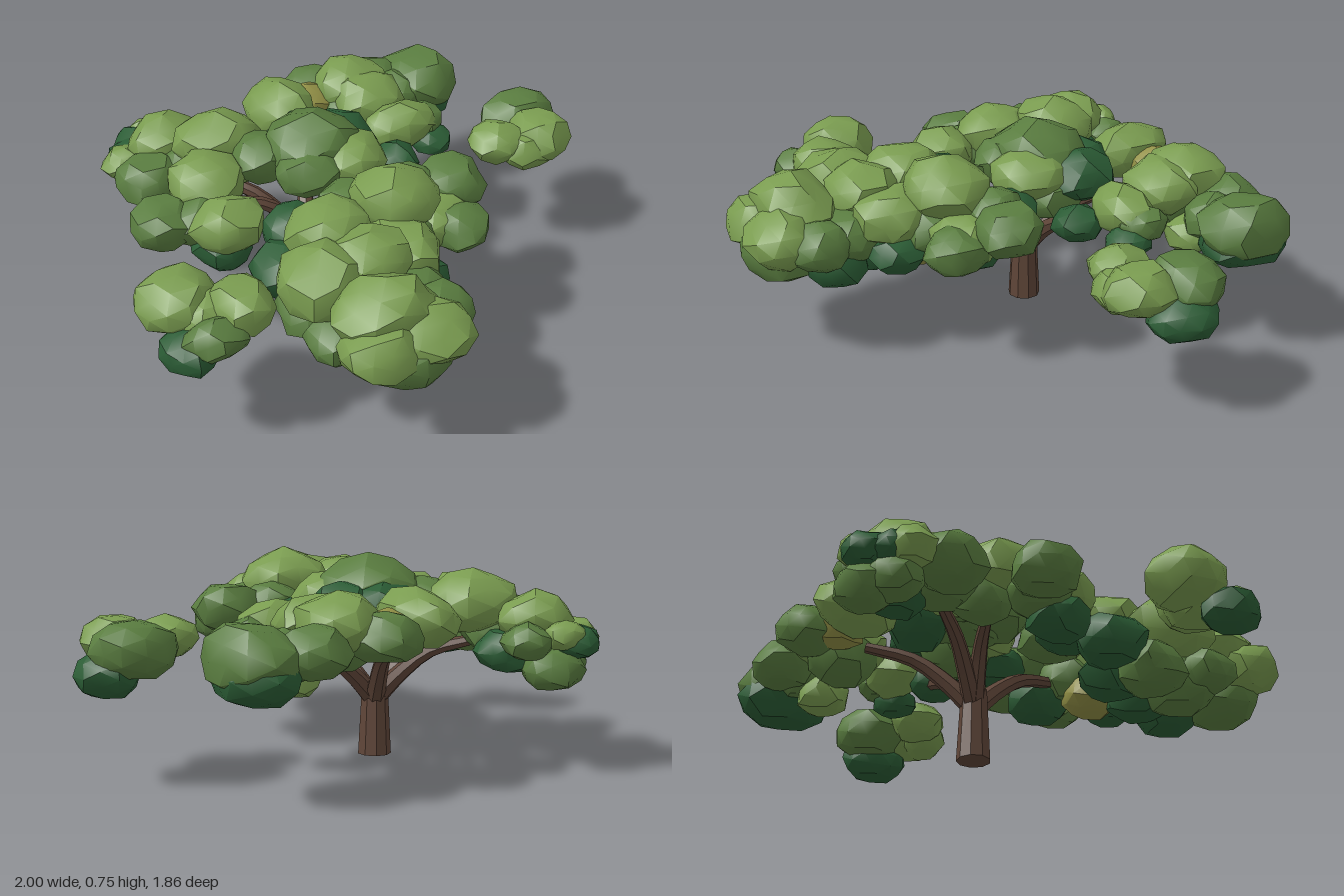
import * as THREE from 'three';
import { mergeVertices, toCreasedNormals } from 'three/addons/utils/BufferGeometryUtils.js';

const flat = (name, color) => new THREE.MeshStandardMaterial({ name, color });

let seed = 7;
const rand = () => {
  seed = (seed * 16807) % 2147483647;
  return seed / 2147483647;
};

// Lumpy faceted ball with a slightly flattened underside
function lump() {
  let g = new THREE.IcosahedronGeometry(1, 1);
  g.deleteAttribute('uv');
  g.deleteAttribute('normal');
  g = mergeVertices(g, 1e-4);
  const p = g.attributes.position;
  const v = new THREE.Vector3();
  for (let i = 0; i < p.count; i++) {
    v.fromBufferAttribute(p, i).multiplyScalar(0.92 + rand() * 0.2);
    if (v.y < -0.8) v.y = -0.8 + (v.y + 0.8) * 0.4;
    p.setXYZ(i, v.x, v.y, v.z);
  }
  return toCreasedNormals(g, 0.6);
}

// Tapered limb swept along a curve
function limb(points, r0, r1, sides = 7) {
  const curve = new THREE.CatmullRomCurve3(points.map((a) => new THREE.Vector3(...a)));
  const steps = 8;
  const g = new THREE.TubeGeometry(curve, steps, 1, sides, false);
  const p = g.attributes.position;
  const v = new THREE.Vector3();
  for (let i = 0; i < p.count; i++) {
    const t = Math.floor(i / (sides + 1)) / steps;
    const c = curve.getPointAt(t);
    v.fromBufferAttribute(p, i).sub(c).multiplyScalar(r0 + (r1 - r0) * t).add(c);
    p.setXYZ(i, v.x, v.y, v.z);
  }
  return toCreasedNormals(g, 0.5);
}

// Foliage lumps per cluster: [tone, x, y, z, radius x, radius z]
const clusters = {
  rightFoliage: [
    ['mid', 0.80, 0.47, -0.33, 0.15, 0.13], ['dark', 0.88, 0.39, -0.28, 0.11, 0.13],
    ['light', 0.63, 0.48, -0.17, 0.11, 0.11], ['light', 0.80, 0.48, -0.16, 0.12, 0.13],
    ['light', 0.73, 0.45, -0.12, 0.11, 0.09],
  ],
  backRightFoliage: [
    ['light', -0.10, 0.56, -0.64, 0.13, 0.17], ['mid', 0.09, 0.53, -0.78, 0.13, 0.11],
    ['yellow', 0.03, 0.53, -0.68, 0.11, 0.10], ['light', 0.22, 0.57, -0.69, 0.15, 0.15],
    ['light', 0.25, 0.56, -0.57, 0.15, 0.13], ['mid', 0.55, 0.49, -0.74, 0.15, 0.18],
    ['mid', 0.36, 0.50, -0.80, 0.13, 0.12], ['mid', 0.42, 0.48, -0.70, 0.12, 0.12],
    ['dark', 0.54, 0.44, -0.75, 0.14, 0.17], ['light', 0.30, 0.52, -0.38, 0.16, 0.10],
    ['mid', 0.41, 0.51, -0.40, 0.08, 0.09], ['dark', 0.22, 0.46, -0.24, 0.09, 0.10],
    ['dark', 0.42, 0.45, -0.34, 0.08, 0.08], ['mid', 0.20, 0.49, -0.62, 0.14, 0.13],
    ['light', 0.36, 0.40, -0.64, 0.10, 0.10],
  ],
  backLeftFoliage: [
    ['dark', -0.66, 0.46, -0.78, 0.09, 0.08], ['light', -0.60, 0.49, -0.80, 0.08, 0.06],
    ['mid', -0.48, 0.47, -0.75, 0.09, 0.09], ['light', -0.58, 0.53, -0.64, 0.14, 0.13],
    ['light', -0.74, 0.46, -0.65, 0.09, 0.09], ['dark', -0.70, 0.46, -0.71, 0.09, 0.07],
    ['mid', -0.69, 0.46, -0.50, 0.13, 0.13], ['mid', -0.58, 0.37, -0.76, 0.12, 0.10],
    ['light', -0.42, 0.58, -0.48, 0.17, 0.14], ['mid', -0.52, 0.48, -0.48, 0.13, 0.13],
    ['dark', -0.48, 0.42, -0.62, 0.11, 0.11], ['mid', -0.66, 0.38, -0.68, 0.10, 0.10],
  ],
  leftFoliage: [
    ['light', -0.54, 0.55, -0.27, 0.14, 0.15], ['mid', -0.74, 0.47, -0.18, 0.12, 0.13],
    ['light', -0.54, 0.50, -0.04, 0.14, 0.13], ['mid', -0.60, 0.47, -0.15, 0.13, 0.12],
    ['dark', -0.56, 0.40, -0.06, 0.11, 0.11], ['mid', -0.50, 0.45, -0.32, 0.11, 0.11],
  ],
  crownFoliage: [
    ['mid', -0.12, 0.60, -0.25, 0.19, 0.18], ['light', -0.02, 0.58, -0.16, 0.14, 0.14],
    ['dark', -0.10, 0.55, -0.41, 0.16, 0.12], ['dark', 0.04, 0.56, -0.34, 0.12, 0.14],
    ['mid', -0.31, 0.57, -0.31, 0.12, 0.13], ['mid', -0.18, 0.58, -0.14, 0.13, 0.12],
    ['mid', 0.01, 0.50, -0.24, 0.12, 0.13], ['light', -0.38, 0.52, -0.38, 0.10, 0.10],
  ],
  frontRightFoliage: [
    ['dark', 0.07, 0.50, -0.04, 0.11, 0.10], ['light', 0.01, 0.61, 0.20, 0.16, 0.16],
    ['mid', 0.29, 0.53, 0.08, 0.13, 0.13], ['mid', 0.24, 0.46, 0.26, 0.11, 0.12],
    ['mid', -0.12, 0.55, 0.09, 0.11, 0.12], ['mid', 0.12, 0.53, 0.06, 0.13, 0.12],
    ['dark', 0.10, 0.40, 0.14, 0.12, 0.12], ['light', 0.18, 0.47, 0.19, 0.13, 0.13],
    ['mid', 0.02, 0.46, 0.24, 0.13, 0.13],
  ],
  frontFoliage: [
    ['dark', -0.33, 0.49, 0.07, 0.12, 0.11], ['dark', -0.42, 0.43, 0.21, 0.13, 0.13],
    ['light', -0.27, 0.57, 0.24, 0.15, 0.15], ['light', -0.38, 0.53, 0.45, 0.17, 0.17],
    ['light', -0.20, 0.56, 0.44, 0.15, 0.14], ['light', -0.05, 0.51, 0.38, 0.14, 0.16],
    ['dark', 0.02, 0.39, 0.39, 0.10, 0.11], ['mid', -0.10, 0.44, 0.54, 0.14, 0.13],
    ['light', -0.25, 0.53, 0.69, 0.18, 0.15], ['light', -0.14, 0.46, 0.78, 0.16, 0.13],
    ['mid', -0.04, 0.45, 0.67, 0.12, 0.12], ['light', -0.32, 0.46, 0.79, 0.14, 0.13],
    ['mid', -0.20, 0.39, 0.76, 0.16, 0.15], ['mid', -0.38, 0.39, 0.60, 0.12, 0.11],
    ['dark', -0.08, 0.36, 0.60, 0.13, 0.12], ['mid', -0.28, 0.37, 0.54, 0.15, 0.14],
    ['yellow', -0.04, 0.39, 0.29, 0.12, 0.11], ['dark', -0.14, 0.36, 0.44, 0.13, 0.12],
    ['mid', -0.38, 0.37, 0.38, 0.14, 0.13], ['dark', -0.26, 0.37, 0.28, 0.12, 0.12],
  ],
  frontLeftFoliage: [
    ['light', -0.84, 0.48, 0.29, 0.15, 0.14], ['light', -0.66, 0.49, 0.41, 0.12, 0.13],
    ['mid', -0.78, 0.44, 0.49, 0.11, 0.09], ['dark', -0.86, 0.38, 0.44, 0.10, 0.11],
    ['light', -0.76, 0.45, 0.37, 0.12, 0.12],
  ],
};

export function createModel() {
  const tree = new THREE.Group();
  tree.name = 'flatToppedTree';
  const leaf = {
    light: flat('light green leaves', 0x7a9c50),
    mid: flat('mid green leaves', 0x5a7d40),
    dark: flat('dark green leaves', 0x2b5c35),
    yellow: flat('yellow green leaves', 0x929046),
  };
  const bark = flat('brown bark', 0x5e4538);
  const add = (parent, name, geometry, material) => {
    const mesh = new THREE.Mesh(geometry, material);
    mesh.name = name;
    parent.add(mesh);
    return mesh;
  };

  // Trunk
  const X = -0.165, Z = -0.22;
  const trunkShape = new THREE.CylinderGeometry(0.048, 0.062, 0.27, 9);
  const trunk = add(tree, 'trunk', toCreasedNormals(trunkShape, 0.5), bark);
  trunk.position.set(X, 0.135, Z);

  // Branches arching out to the foliage
  const tips = [
    [-0.45, 0.44, -0.45], [-0.03, 0.44, -0.59], [0.22, 0.45, -0.28],
    [0.00, 0.44, 0.17], [-0.42, 0.43, -0.27],
  ];
  for (const [x, y, z] of tips) {
    const at = (t, h) => [X + (x - X) * t, h, Z + (z - Z) * t];
    add(tree, 'branch', limb([at(0, 0.2), at(0.22, 0.29), at(0.55, 0.39), at(1, y)], 0.038, 0.02), bark);
  }

  // Foliage clusters
  for (const [name, lumps] of Object.entries(clusters)) {
    const group = new THREE.Group();
    group.name = name;
    for (const [tone, x, y, z, rx, rz] of lumps) {
      const mesh = add(group, 'leafClump', lump(), leaf[tone]);
      mesh.position.set(x, y, z);
      mesh.scale.set(rx, (rx + rz) * 0.37, rz);
    }
    tree.add(group);
  }
  return tree;
}
